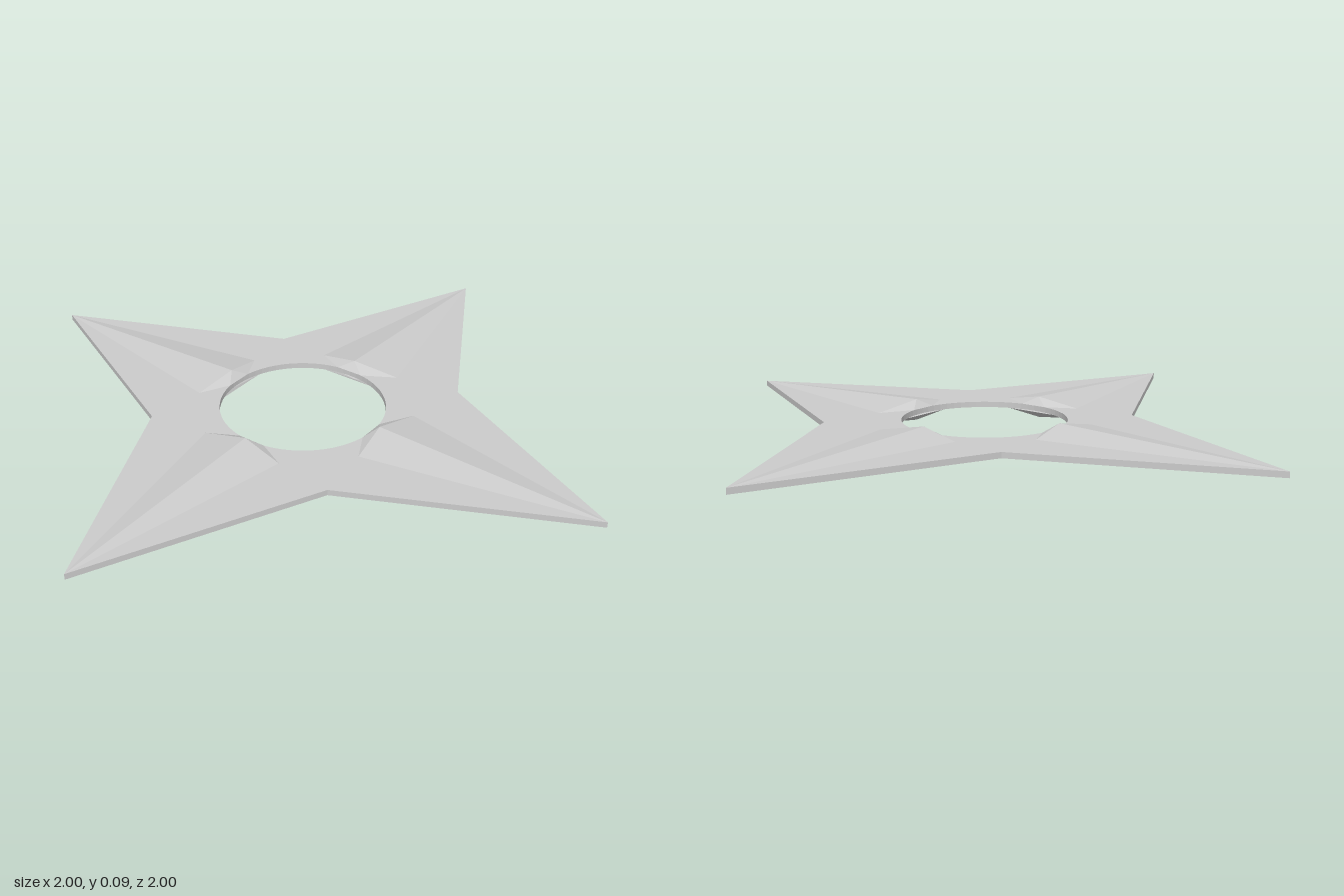
import * as THREE from 'three';

const TOP = 0.065, BOTTOM = 0.04, HOLE = 0.36, PEAK = 0.28;
// Valley points of the star outline as [x, z]
const VALLEY = { right: [0.69, 0], front: [0, 0.64], left: [-0.65, 0], back: [0, -0.6] };

const material = () => new THREE.MeshStandardMaterial({ color: 0xcccccc, flatShading: true });

// Flat four-pointed star with a round hole
function makePlate() {
  const outline = [[1, 1], VALLEY.front, [-1, 1], VALLEY.left, [-1, -1], VALLEY.back, [1, -1], VALLEY.right];
  const shape = new THREE.Shape(outline.map(([x, z]) => new THREE.Vector2(x, z)));
  shape.holes.push(new THREE.Path().absarc(0, 0, HOLE, 0, Math.PI * 2, true));
  const geometry = new THREE.ExtrudeGeometry(shape, { depth: TOP - BOTTOM, bevelEnabled: false, curveSegments: 32 });
  geometry.rotateX(Math.PI / 2).translate(0, TOP, 0);
  const mesh = new THREE.Mesh(geometry, material());
  mesh.name = 'starPlate';
  return mesh;
}

// Faceted ridge on one blade: a fan from its peak to points on the plate
function makeRidge(sx, sz, up) {
  const baseY = up ? TOP : BOTTOM;
  const peak = new THREE.Vector3(sx * PEAK, up ? 0.1 : 0.005, sz * PEAK);
  const spread = THREE.MathUtils.degToRad(up ? 10 : 20);
  const reach = up ? 0.42 : 1;
  const foot = ([x, z]) => new THREE.Vector3(
    THREE.MathUtils.lerp(peak.x, x, reach), baseY, THREE.MathUtils.lerp(peak.z, z, reach));
  const rim = (a) => new THREE.Vector3(sx * HOLE * Math.cos(a), baseY, sz * HOLE * Math.sin(a));
  const base = [
    new THREE.Vector3(sx, baseY, sz),
    foot(sz > 0 ? VALLEY.front : VALLEY.back),
    rim(Math.PI / 4 + spread),
    rim(Math.PI / 4 - spread),
    foot(sx > 0 ? VALLEY.right : VALLEY.left),
  ];
  const positions = [];
  const flip = (sx * sz > 0) !== up;
  base.forEach((a, i) => {
    const b = base[(i + 1) % base.length];
    for (const p of flip ? [peak, a, b] : [peak, b, a]) positions.push(p.x, p.y, p.z);
  });
  const geometry = new THREE.BufferGeometry();
  geometry.setAttribute('position', new THREE.Float32BufferAttribute(positions, 3));
  geometry.computeVertexNormals();
  const mesh = new THREE.Mesh(geometry, material());
  mesh.material.side = THREE.DoubleSide;
  mesh.name = `${up ? 'upper' : 'lower'}Ridge${sz > 0 ? 'Front' : 'Back'}${sx > 0 ? 'Left' : 'Right'}`;
  return mesh;
}

export function createModel() {
  const model = new THREE.Group();
  model.name = 'throwingStar';
  model.add(makePlate());
  for (const sx of [1, -1])
    for (const sz of [1, -1])
      for (const up of [true, false]) model.add(makeRidge(sx, sz, up));
  return model;
}
